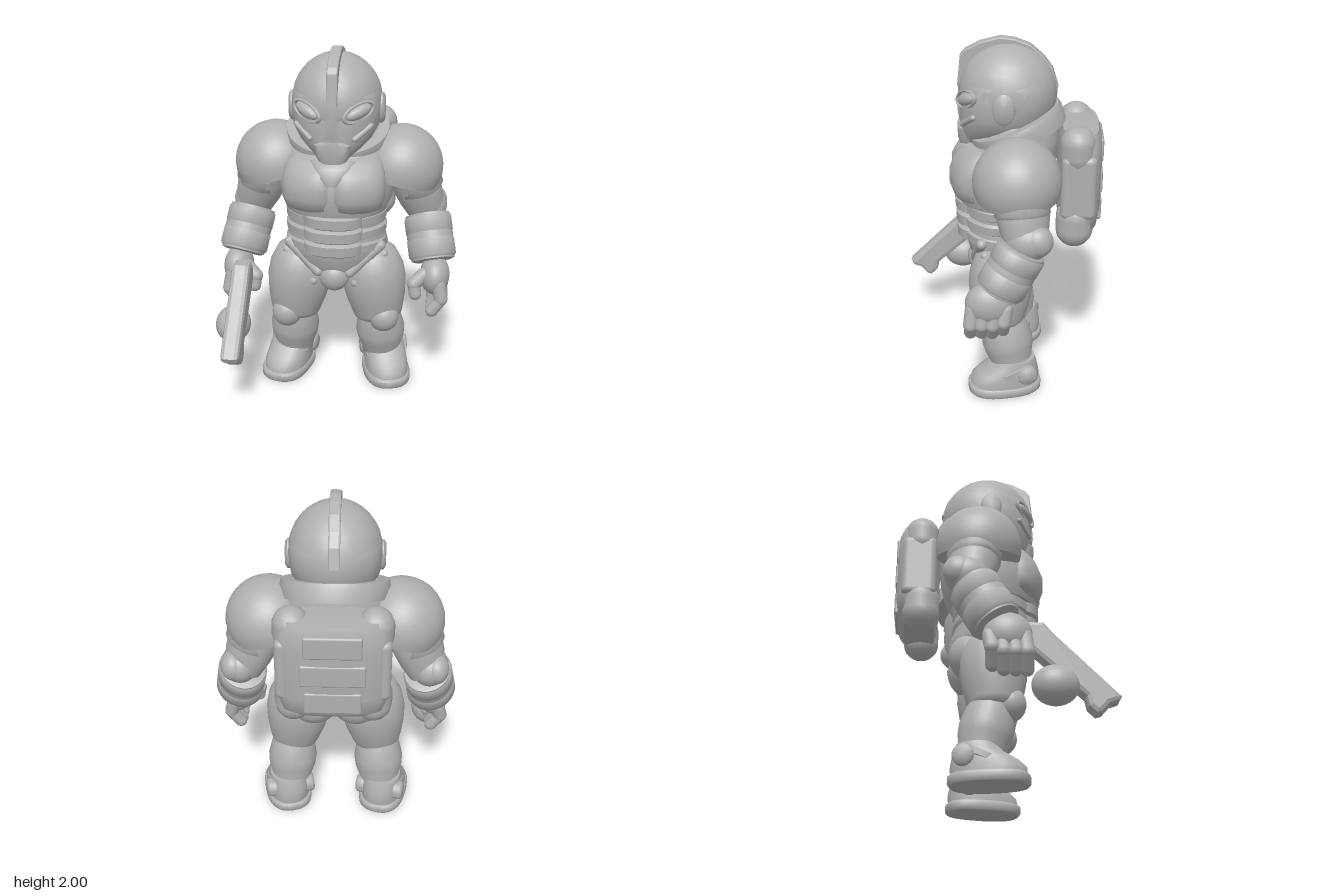
import * as THREE from 'three';
import { toCreasedNormals } from 'three/addons/utils/BufferGeometryUtils.js';
import { RoundedBoxGeometry } from 'three/addons/geometries/RoundedBoxGeometry.js';

const grey = new THREE.MeshStandardMaterial({ color: 0xb0b0b0 });
grey.name = 'armour grey';

const V = (x, y, z) => new THREE.Vector3(x, y, z);
const UP = V(0, 1, 0);

function add(parent, name, geo, pos = [0, 0, 0], rot = [0, 0, 0], scale = [1, 1, 1]) {
  const m = new THREE.Mesh(geo, grey);
  m.name = name;
  m.position.set(...pos);
  m.rotation.set(...rot);
  m.scale.set(...scale);
  parent.add(m);
  return m;
}

// Skin over stacked superellipse rings: [y, half width, front z, back z]
function loft(rings, power = 2, n = 36) {
  const pos = [], idx = [];
  const bend = v => Math.sign(v) * Math.abs(v) ** (2 / power);
  for (const [y, rx, zf, zb] of rings) {
    for (let i = 0; i < n; i++) {
      const a = (i / n) * Math.PI * 2;
      pos.push(rx * bend(Math.sin(a)), y, (zf + zb) / 2 + ((zf - zb) / 2) * bend(Math.cos(a)));
    }
  }
  for (let j = 0; j < rings.length - 1; j++) {
    for (let i = 0; i < n; i++) {
      const a = j * n + i, b = j * n + ((i + 1) % n);
      idx.push(a, b, b + n, a, b + n, a + n);
    }
  }
  const g = new THREE.BufferGeometry();
  g.setAttribute('position', new THREE.Float32BufferAttribute(pos, 3));
  g.setIndex(idx);
  return toCreasedNormals(g, 0.8);
}

// Closed round segment from a to b; profile entries are [t, radius]
function limb(parent, name, a, b, profile, depth = 1) {
  const p = V(...a), q = V(...b), d = q.clone().sub(p), len = d.length();
  const first = profile[0], last = profile[profile.length - 1];
  const rings = [[first[0], 0], ...profile, [last[0], 0]]
    .map(([t, r]) => [t * len, r, r * depth, -r * depth]);
  const m = add(parent, name, loft(rings, 2, 28), a);
  m.quaternion.setFromUnitVectors(UP, d.normalize());
}

const ball = new THREE.SphereGeometry(1, 28, 18);
const blob = (parent, name, pos, r, rot) => add(parent, name, ball, pos, rot, r);

function capsule(parent, name, a, b, r) {
  const p = V(...a), q = V(...b), d = q.clone().sub(p);
  const m = add(parent, name, new THREE.CapsuleGeometry(r, d.length(), 6, 14), p.clone().add(q).multiplyScalar(0.5).toArray());
  m.quaternion.setFromUnitVectors(UP, d.normalize());
}

// Flat oval pad facing sideways
function sideDisc(parent, name, pos, side, height, width) {
  const g = loft([[-0.03, height, width, -width], [0.008, height, width, -width],
    [0.02, height * 0.8, width * 0.8, -width * 0.8], [0.022, 0, 0, 0]]);
  add(parent, name, g, pos, [0, 0, -side * Math.PI / 2]);
}

// Plate cut from a side outline of [z, y] points, centred on x
function sidePlate(parent, name, pts, x, width, bevel) {
  const shape = new THREE.Shape(pts.map(p => new THREE.Vector2(...p)));
  const depth = width - 2 * bevel;
  const g = new THREE.ExtrudeGeometry(shape, { depth, bevelSize: bevel, bevelThickness: bevel, bevelOffset: -bevel, bevelSegments: 2 });
  add(parent, name, g, [x + depth / 2, 0, 0], [0, -Math.PI / 2, 0]);
}

function buildHead(root) {
  const head = new THREE.Group();
  head.name = 'head';
  root.add(head);
  blob(head, 'helmetDome', [0, 1.7, -0.06], [0.25, 0.268, 0.268]);
  add(head, 'face', loft([[1.41, 0, 0.1, 0.1], [1.41, 0.08, 0.185, -0.1], [1.46, 0.14, 0.195, -0.18], [1.52, 0.2, 0.2, -0.25],
    [1.59, 0.238, 0.203, -0.29], [1.68, 0.246, 0.2, -0.31], [1.77, 0.238, 0.18, -0.31], [1.84, 0.19, 0.13, -0.27], [1.84, 0, 0, 0]], 2.3));
  add(head, 'chinGuard', loft([[1.4, 0, 0.1, 0.1], [1.4, 0.065, 0.2, 0.05], [1.45, 0.095, 0.212, 0.05], [1.515, 0.105, 0.214, 0.05],
    [1.535, 0.07, 0.212, 0.05], [1.535, 0, 0.1, 0.1]], 3.2));
  add(head, 'noseGuard', loft([[1.55, 0, 0.1, 0.1], [1.55, 0.105, 0.205, 0.05], [1.6, 0.06, 0.214, 0.05], [1.73, 0.03, 0.208, 0.05],
    [1.73, 0, 0.1, 0.1]], 2.6));
  sidePlate(head, 'crest', [[0.213, 1.73], [0.195, 1.9], [0.17, 1.93], [0.09, 1.972], [-0.02, 2], [-0.1, 1.99], [-0.18, 1.96],
    [-0.25, 1.9], [-0.3, 1.835], [-0.333, 1.73], [-0.2, 1.7], [0.1, 1.7]], 0, 0.06, 0.008);
  for (const s of [1, -1]) {
    const turn = [0, 0.6 * s, 0.34 * s];
    blob(head, 'eye', [0.138 * s, 1.692, 0.153], [0.078, 0.034, 0.032], turn);
    add(head, 'eyeRim', new THREE.TorusGeometry(1, 0.13, 8, 28), [0.138 * s, 1.692, 0.155], turn, [0.093, 0.046, 0.1]);
    capsule(head, 'cheekRidge', [0.12 * s, 1.55, 0.178], [0.2 * s, 1.61, 0.115], 0.016);
    sideDisc(head, 'earPad', [0.244 * s, 1.67, -0.05], s, 0.085, 0.06);
  }
  // Sloping neck ring, high at the back
  add(root, 'collar', loft([[-0.05, 0.22, 0.22, -0.22], [-0.05, 0.285, 0.265, -0.265], [0.02, 0.298, 0.27, -0.268],
    [0.05, 0.288, 0.262, -0.26], [0.05, 0.23, 0.22, -0.22], [-0.05, 0.22, 0.22, -0.22]]), [0, 1.505, -0.115], [0.4, 0, 0]);
}

function buildTorso(root) {
  const torso = new THREE.Group();
  torso.name = 'torso';
  root.add(torso);
  add(torso, 'body', loft([[0.63, 0, 0, -0.1], [0.65, 0.1, 0.08, -0.14], [0.72, 0.2, 0.13, -0.22], [0.8, 0.27, 0.16, -0.27], [0.88, 0.295, 0.18, -0.275],
    [0.95, 0.28, 0.18, -0.25], [1.05, 0.275, 0.18, -0.25], [1.2, 0.31, 0.21, -0.29], [1.38, 0.33, 0.18, -0.34],
    [1.46, 0.3, 0.11, -0.345], [1.56, 0.23, 0.02, -0.32], [1.56, 0, 0, -0.1]]));
  add(torso, 'chestArmour', loft([[1.1, 0.25, 0.17, -0.2], [1.1, 0.285, 0.215, -0.26], [1.17, 0.315, 0.237, -0.3],
    [1.28, 0.33, 0.24, -0.33], [1.37, 0.32, 0.205, -0.34], [1.44, 0.28, 0.14, -0.34], [1.44, 0.2, 0.1, -0.2]]));
  add(torso, 'throatShield', loft([[1.3, 0, 0.15, 0.15], [1.3, 0.06, 0.25, 0.05], [1.34, 0.1, 0.25, 0.05], [1.39, 0.13, 0.223, 0.04],
    [1.42, 0.135, 0.195, 0.03], [1.43, 0, 0.1, 0.1]], 2.3));
  for (const s of [1, -1]) {
    // Broad curved chest plates meeting at the centre line
    add(torso, 'breastPlate', loft([[1.125, 0, 0.1, 0.1], [1.13, 0.11, 0.2, 0], [1.15, 0.145, 0.232, -0.02], [1.21, 0.16, 0.252, -0.03],
      [1.28, 0.163, 0.252, -0.03], [1.35, 0.16, 0.227, -0.03], [1.4, 0.15, 0.185, -0.03], [1.43, 0.12, 0.14, -0.02], [1.43, 0, 0.1, 0.1]], 2.7),
    [0.08 * s, 0, 0], [0, 0.35 * s, 0]);
    blob(torso, 'buttock', [0.12 * s, 0.77, -0.13], [0.15, 0.14, 0.145]);
    capsule(torso, 'hipStrap', [0.26 * s, 0.9, 0.07], [0.09 * s, 0.74, 0.115], 0.03);
    capsule(torso, 'hipStrap', [0.28 * s, 0.84, 0.05], [0.12 * s, 0.67, 0.1], 0.024);
  }
  for (let i = 0; i < 3; i++) {
    const y = 0.905 + i * 0.083, front = 0.222 + i * 0.005;
    add(torso, 'waistBand', loft([[-0.042, 0.265, 0.16, -0.24], [-0.025, 0.285, 0.195, -0.255], [0.02, 0.288, 0.197, -0.255], [0.042, 0.268, 0.17, -0.24]]), [0, y, 0]);
    add(torso, 'bellyPlate', loft([[-0.043, 0, 0.1, 0.1], [-0.043, 0.15, front - 0.025, 0], [-0.028, 0.168, front, 0], [0.028, 0.17, front + 0.003, 0],
      [0.043, 0.155, front - 0.02, 0], [0.043, 0, 0.1, 0.1]], 2.3), [0, y, 0]);
  }
  blob(torso, 'groinGuard', [0, 0.705, 0.1], [0.085, 0.085, 0.068]);
}

function buildBackpack(root) {
  const pack = new THREE.Group();
  pack.name = 'backpack';
  root.add(pack);
  add(pack, 'packBody', loft([[0.96, 0, -0.45, -0.45], [0.96, 0.24, -0.36, -0.53], [1, 0.28, -0.345, -0.565], [1.1, 0.295, -0.335, -0.58],
    [1.38, 0.295, -0.335, -0.58], [1.48, 0.28, -0.345, -0.575], [1.535, 0.25, -0.36, -0.555], [1.54, 0, -0.45, -0.45]], 3));
  for (const [y, w] of [[1.42, 0.3], [1.25, 0.34], [1.08, 0.3]])
    add(pack, 'panelRidge', new RoundedBoxGeometry(w, 0.13, 0.03, 3, 0.012), [0, y, -0.568]);
  for (const s of [1, -1]) {
    add(pack, 'sidePanel', new RoundedBoxGeometry(0.13, 0.36, 0.19, 4, 0.035), [0.235 * s, 1.25, -0.45]);
    capsule(pack, 'upperTank', [0.215 * s, 1.42, -0.44], [0.215 * s, 1.48, -0.44], 0.097);
    capsule(pack, 'lowerTank', [0.21 * s, 0.992, -0.435], [0.21 * s, 1.06, -0.435], 0.103);
  }
}

function buildArm(root, s) {
  const arm = new THREE.Group();
  arm.name = s > 0 ? 'leftArm' : 'rightArm';
  root.add(arm);
  // Shoulder dome with a flat underside, tipped outward
  const dome = [[-0.055, 0], [-0.055, 0.19]];
  for (let i = 0; i <= 12; i++) {
    const a = -0.236 + (i / 12) * (Math.PI / 2 + 0.236);
    dome.push([0.235 * Math.sin(a), 0.235 * Math.cos(a)]);
  }
  add(arm, 'shoulderGuard', loft(dome.map(([y, r]) => [y, r, r, -r])), [0.358 * s, 1.318, -0.125], [0, 0, -0.26 * s]);
  limb(arm, 'upperArm', [0.4 * s, 1.32, -0.14], [0.51 * s, 1.02, -0.18], [[0, 0.13], [0.35, 0.138], [0.7, 0.124], [1, 0.1]], 1.1);
  limb(arm, 'armBand', [0.435 * s, 1.25, -0.15], [0.47 * s, 1.16, -0.16], [[0, 0.13], [0.1, 0.141], [0.8, 0.138], [1, 0.12]], 1.08);
  blob(arm, 'elbow', [0.52 * s, 1.06, -0.19], [0.105, 0.11, 0.125]);
  blob(arm, 'elbowPad', [0.555 * s, 1.07, -0.235], [0.07, 0.085, 0.085]);
  limb(arm, 'forearm', [0.512 * s, 1.01, -0.165], [0.56 * s, 0.77, -0.035],
    [[0, 0.1], [0.02, 0.124], [0.3, 0.13], [0.7, 0.128], [0.97, 0.12], [1, 0.1]], 1.08);
  // Gauntlet plates, slightly raised
  for (const [t, end] of [[0.04, 0.44], [0.5, 0.94]]) {
    const at = k => [(0.512 + 0.048 * k) * s, 1.01 - 0.24 * k, -0.165 + 0.13 * k];
    limb(arm, 'gauntletPlate', at(t), at(end), [[0, 0.12], [0.12, 0.132], [0.88, 0.132], [1, 0.12]], 1.08);
  }
  blob(arm, 'palm', [0.572 * s, 0.71, 0.015], [0.085, 0.115, 0.125]);
  for (let i = 0; i < 4; i++) {
    const z = 0.107 - i * 0.058, drop = i === 3 ? 0.02 : 0;
    capsule(arm, 'finger', [0.595 * s, 0.69, z - 0.01], [0.612 * s, 0.6 + drop, z], 0.04);
    capsule(arm, 'fingertip', [0.612 * s, 0.595 + drop, z], [0.562 * s, 0.525 + drop, z + 0.005], 0.036);
  }
  capsule(arm, 'thumb', [0.51 * s, 0.73, 0.07], [0.457 * s, 0.68, 0.09], 0.04);
  capsule(arm, 'thumbTip', [0.457 * s, 0.68, 0.09], [0.465 * s, 0.62, 0.1], 0.036);
}

function buildLeg(root, s) {
  const leg = new THREE.Group();
  leg.name = s > 0 ? 'leftLeg' : 'rightLeg';
  root.add(leg);
  limb(leg, 'thigh', [0.19 * s, 0.86, -0.04], [0.25 * s, 0.41, -0.03],
    [[0, 0.1], [0.1, 0.15], [0.3, 0.183], [0.5, 0.188], [0.7, 0.174], [0.92, 0.148], [0.97, 0.14], [1, 0.12]], 0.96);
  blob(leg, 'kneePad', [0.285 * s, 0.44, 0.05], [0.088, 0.092, 0.083]);
  limb(leg, 'shin', [0.25 * s, 0.45, -0.045], [0.272 * s, 0.1, -0.115],
    [[0, 0.11], [0.15, 0.128], [0.4, 0.145], [0.55, 0.14], [0.75, 0.12], [1, 0.115]]);
  const foot = new THREE.Group();
  foot.name = 'boot';
  foot.position.set(0.298 * s, 0, -0.06);
  foot.rotation.y = 0.24 * s;
  leg.add(foot);
  add(foot, 'sole', loft([[0, 0, 0, 0], [0, 0.13, 0.2, -0.2], [0.012, 0.138, 0.21, -0.21], [0.045, 0.138, 0.21, -0.21],
    [0.055, 0.13, 0.2, -0.2], [0.055, 0, 0, 0]], 2.6));
  add(foot, 'bootUpper', loft([[0.05, 0.127, 0.195, -0.195], [0.09, 0.127, 0.192, -0.2], [0.125, 0.122, 0.155, -0.195],
    [0.17, 0.118, 0.08, -0.185], [0.21, 0.11, 0.05, -0.17], [0.21, 0, 0, 0]], 2.3));
  // Instep strap
  add(foot, 'bootStrap', loft([[-0.02, 0.115, 0.12, -0.13], [-0.016, 0.13, 0.135, -0.14], [0.016, 0.128, 0.132, -0.14],
    [0.02, 0.112, 0.11, -0.13]], 2.3), [0, 0.145, -0.03], [0.4, 0, 0]);
  for (const side of [1, -1]) sideDisc(foot, 'ankleDisc', [0.122 * side, 0.135, -0.11], side, 0.056, 0.056);
}

function buildBlaster(root) {
  const gun = new THREE.Group();
  gun.name = 'blaster';
  root.add(gun);
  sidePlate(gun, 'gunBody', [[0.09, 0.74], [0.12, 0.79], [0.2, 0.79], [0.25, 0.73], [0.52, 0.46], [0.58, 0.4], [0.565, 0.37],
    [0.52, 0.355], [0.48, 0.31], [0.45, 0.3], [0.41, 0.34], [0.4, 0.39], [0.1, 0.66]], -0.522, 0.105, 0.025);
  blob(gun, 'drum', [-0.565, 0.443, 0.25], [0.1, 0.103, 0.12]);
  capsule(gun, 'grip', [-0.53, 0.7, 0.12], [-0.54, 0.57, 0.05], 0.035);
}

export function createModel() {
  const root = new THREE.Group();
  root.name = 'armouredTrooper';
  buildHead(root);
  buildTorso(root);
  buildBackpack(root);
  for (const s of [1, -1]) {
    buildArm(root, s);
    buildLeg(root, s);
  }
  buildBlaster(root);
  return root;
}
